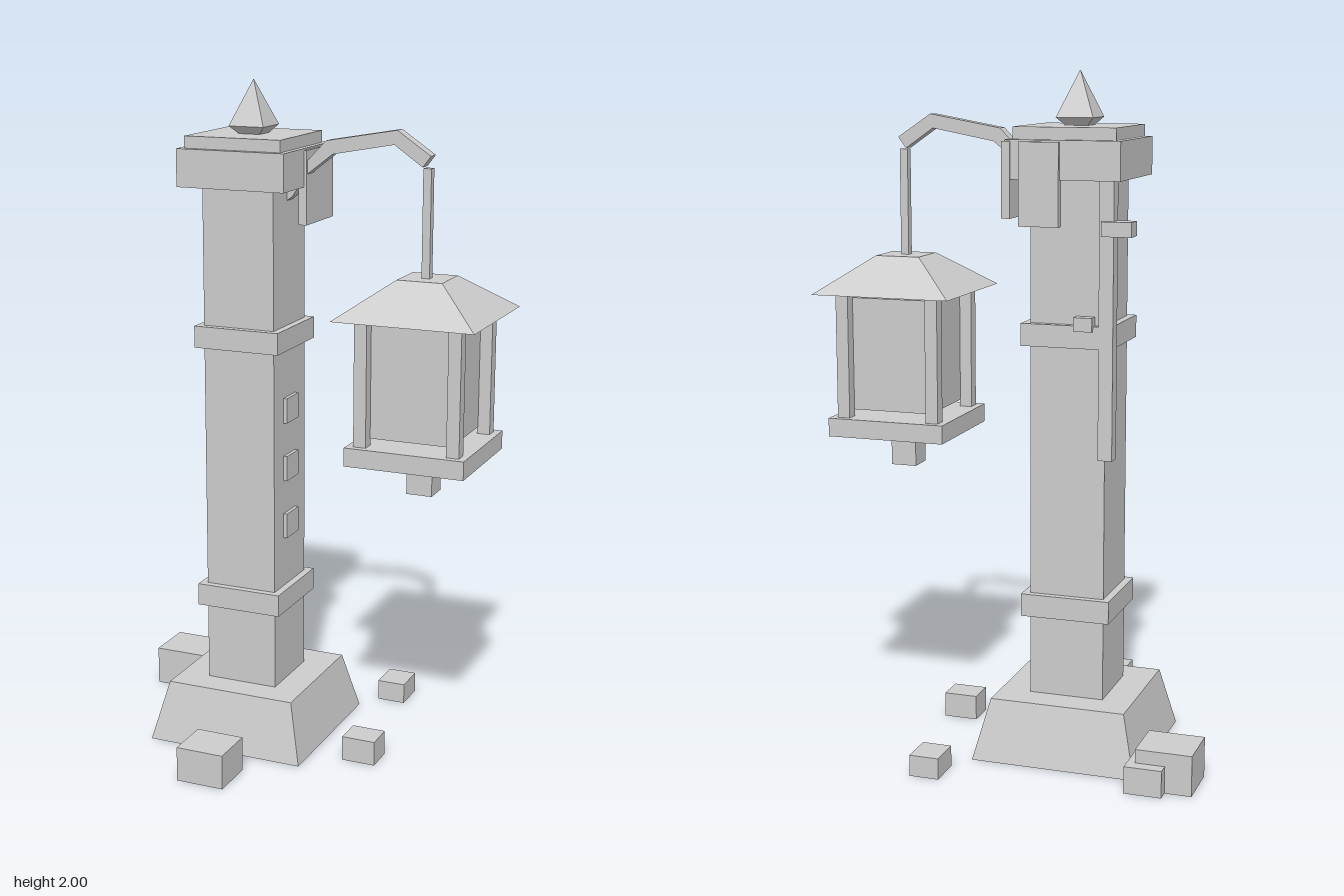
import * as THREE from 'three';

export function createModel() {
  const model = new THREE.Group();
  model.name = 'streetLantern';
  const stone = new THREE.MeshStandardMaterial({ color: 0xcccccc });
  stone.name = 'paleGrey';
  stone.flatShading = true;

  const add = (name, geometry, parent = model) => {
    const mesh = new THREE.Mesh(geometry, stone);
    mesh.name = name;
    parent.add(mesh);
    return mesh;
  };
  // Box given by its extents on each axis
  const box = (name, [x0, x1], [y0, y1], [z0, z1], parent) => {
    const mesh = add(name, new THREE.BoxGeometry(x1 - x0, y1 - y0, z1 - z0), parent);
    mesh.position.set((x0 + x1) / 2, (y0 + y1) / 2, (z0 + z1) / 2);
    return mesh;
  };
  // Square box of half width h around a vertical axis
  const block = (name, x, z, h, y0, y1, parent) =>
    box(name, [x - h, x + h], [y0, y1], [z - h, z + h], parent);
  // Square frustum with half widths at the top and bottom
  const frustum = (name, x, z, top, bottom, y0, y1, parent) => {
    const g = new THREE.CylinderGeometry(top * Math.SQRT2, bottom * Math.SQRT2, y1 - y0, 4, 1);
    g.rotateY(Math.PI / 4);
    const mesh = add(name, g, parent);
    mesh.position.set(x, (y0 + y1) / 2, z);
    return mesh;
  };

  // Pillar
  const px = -0.164, pz = -0.031;
  frustum('plinth', px, pz, 0.203, 0.247, 0, 0.18);
  block('column', px, pz + 0.003, 0.112, 0.18, 1.71);
  block('lowerBand', px, pz + 0.003, 0.134, 0.42, 0.487);
  block('upperBand', px, pz + 0.003, 0.134, 1.225, 1.29);
  block('capital', px, pz, 0.168, 1.7, 1.81);
  block('capSlab', px, pz, 0.15, 1.81, 1.845);
  frustum('finialFoot', px, pz, 0.055, 0.033, 1.845, 1.868);
  frustum('finial', px, pz, 0, 0.055, 1.868, 2);

  // Studs on the lantern side of the column
  for (const y of [0.678, 0.858, 1.036]) {
    box('stud', [-0.07, -0.041], [y - 0.038, y + 0.038], [-0.069, 0.016]);
  }

  // Plates hanging from the capital
  box('sidePlate', [-0.012, 0.013], [1.59, 1.805], [-0.203, -0.006]);
  box('backPlate', [-0.157, -0.04], [1.57, 1.805], [-0.21, -0.183]);

  // Corner strip with its pegs
  box('cornerStrip', [-0.304, -0.262], [0.905, 1.7], [-0.163, -0.12]);
  box('sidePeg', [-0.358, -0.27], [1.545, 1.587], [-0.174, -0.117]);
  box('backPeg', [-0.245, -0.19], [1.275, 1.315], [-0.172, -0.11]);

  // Bent arm, one outline extruded sideways
  const arm = new THREE.Shape([
    [-0.055, 1.655], [-0.035, 1.67], [0.01, 1.735], [0.09, 1.797], [0.277, 1.832], [0.362, 1.773],
    [0.386, 1.805], [0.285, 1.873], [0.07, 1.835], [0.012, 1.775], [-0.055, 1.7],
  ].map(([x, y]) => new THREE.Vector2(x, y)));
  const armMesh = add('arm', new THREE.ExtrudeGeometry(arm, { depth: 0.04, bevelEnabled: false }));
  armMesh.position.z = -0.052;

  // Lantern
  const lantern = new THREE.Group();
  lantern.name = 'lantern';
  model.add(lantern);
  const lx = 0.375, lz = -0.031;
  block('hangerRod', lx, lz + 0.004, 0.012, 1.45, 1.77, lantern);
  frustum('roof', lx, lz, 0.068, 0.212, 1.355, 1.46, lantern);
  block('lanternBody', lx, lz, 0.123, 1.005, 1.34, lantern);
  for (const sx of [-1, 1]) for (const sz of [-1, 1]) {
    block('cornerPost', lx + sx * 0.14, lz + sz * 0.14, 0.019, 0.98, 1.36, lantern);
  }
  block('lanternFloor', lx, lz, 0.18, 0.93, 0.985, lantern);
  block('lanternKnob', lx, lz, 0.039, 0.825, 0.93, lantern);

  // Loose stones on the ground
  const stones = [
    [[-0.595, -0.43], 0.12, [-0.335, -0.18]],
    [[-0.517, -0.407], 0.08, [-0.372, -0.245]],
    [[-0.207, -0.06], 0.105, [0.302, 0.441]],
    [[0.123, 0.211], 0.063, [-0.449, -0.343]],
    [[0.185, 0.288], 0.075, [0.032, 0.12]],
  ];
  for (const [xs, h, zs] of stones) box('looseStone', xs, [0, h], zs);

  return model;
}
